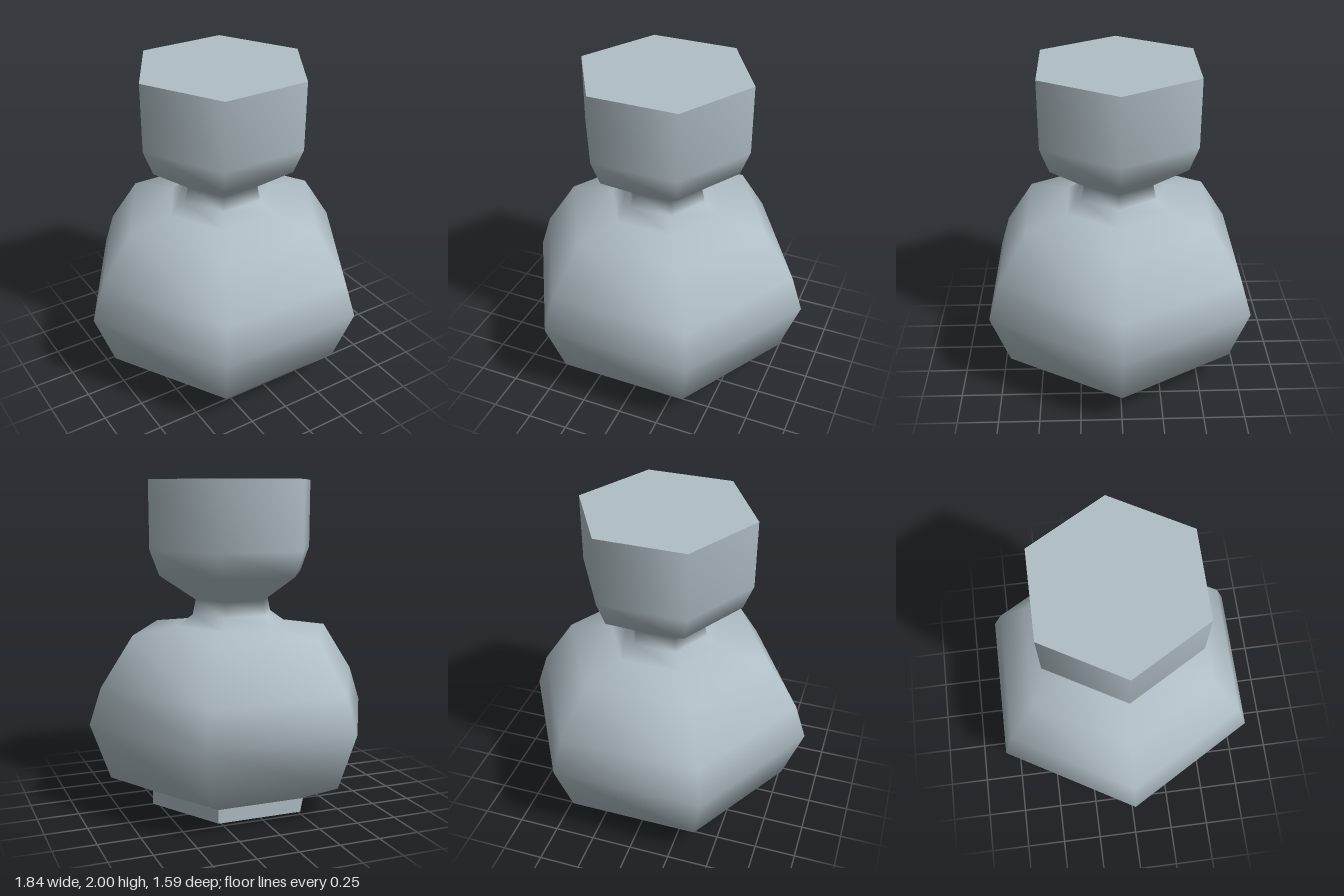
import * as THREE from 'three';

export function createModel() {
  const model = new THREE.Group();
  const stone = new THREE.MeshStandardMaterial({ color: 0xb0bec5 });
  stone.name = 'pale blue grey';
  const flat = stone.clone();
  flat.flatShading = true;

  const SIDES = 6;
  const START = Math.PI / 2; // puts corners on the x axis

  const add = (name, geometry, material, y = 0) => {
    const mesh = new THREE.Mesh(geometry, material);
    mesh.name = name;
    mesh.position.y = y;
    model.add(mesh);
    return mesh;
  };

  // Short hexagonal foot with crisp edges
  add('foot', new THREE.CylinderGeometry(0.532, 0.532, 0.085, SIDES, 1, false, START), flat, 0.0425);

  // Bulging body, pinched neck and straight head, smoothly shaded
  const profile = [
    [0.532, 0.085], [0.795, 0.205], [0.918, 0.55], [0.845, 0.77], [0.643, 1.075],
    [0.36, 1.115], [0.26, 1.185], [0.24, 1.275], [0.47, 1.43], [0.53, 1.585], [0.532, 2],
  ].map(([r, y]) => new THREE.Vector2(r, y));
  add('body', new THREE.LatheGeometry(profile, SIDES, START), stone);

  // Flat top of the head
  add('headTop', new THREE.CircleGeometry(0.532, SIDES), stone, 2).rotation.x = -Math.PI / 2;

  return model;
}
